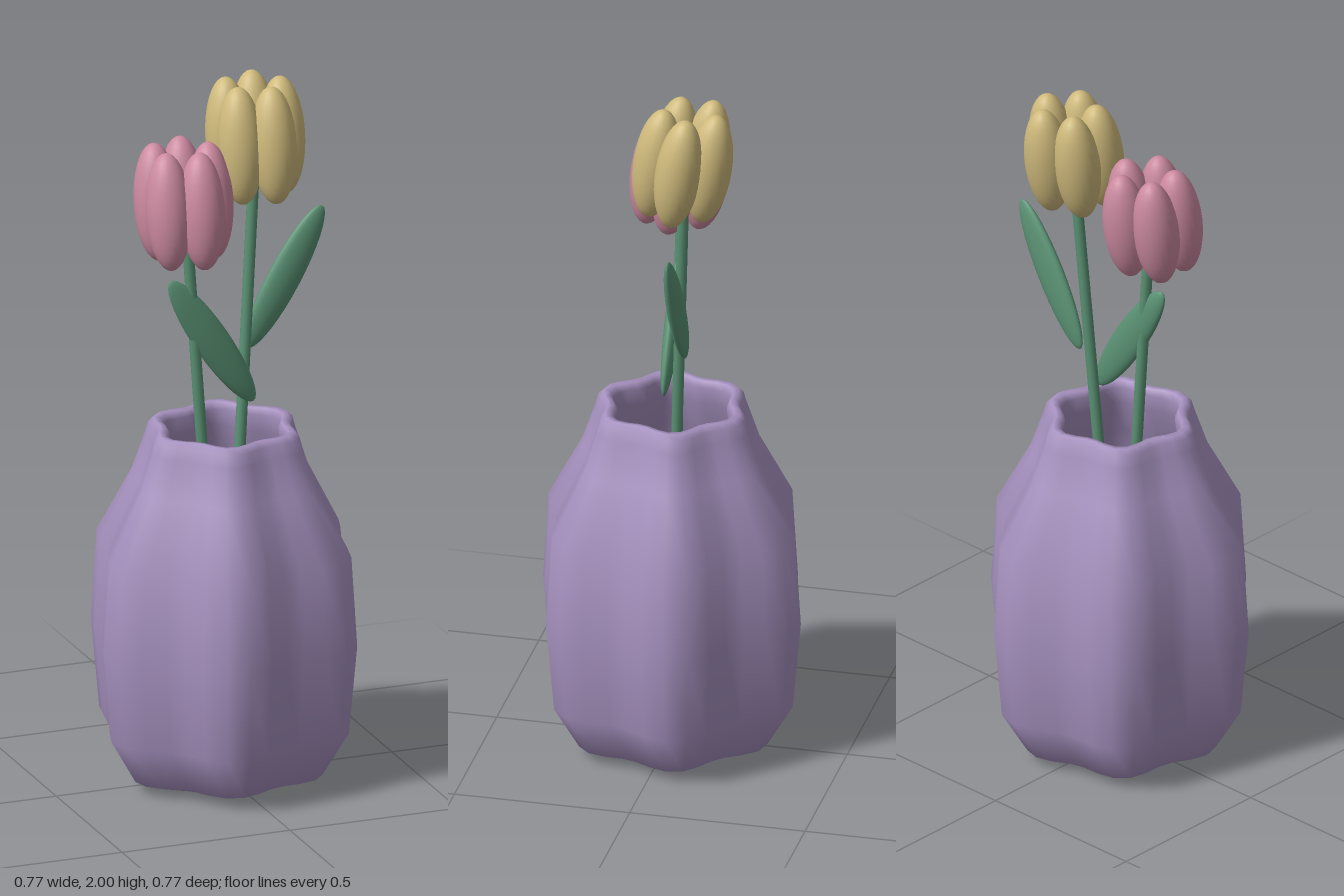
import * as THREE from 'three';
import { mergeVertices } from 'three/addons/utils/BufferGeometryUtils.js';

const material = (name, color) => {
  const m = new THREE.MeshStandardMaterial({ color });
  m.name = name;
  return m;
};

function addMesh(parent, name, geometry, mat) {
  const mesh = new THREE.Mesh(geometry, mat);
  mesh.name = name;
  parent.add(mesh);
  return mesh;
}

// Lathe profile pushed in and out into six soft lobes
function vaseGeometry() {
  const profile = [
    [0, 0], [0.18, 0], [0.268, 0.03], [0.34, 0.16], [0.363, 0.42], [0.347, 0.68],
    [0.252, 0.87], [0.216, 0.98], [0.206, 1.015], [0.192, 1.03], [0.175, 1.028],
    [0.165, 1.01], [0.172, 0.96], [0.21, 0.85], [0.3, 0.67], [0.318, 0.42],
    [0.298, 0.18], [0.23, 0.07], [0, 0.06],
  ].map(([r, y]) => new THREE.Vector2(r, y));
  let geo = new THREE.LatheGeometry(profile, 36);
  const p = geo.attributes.position;
  for (let i = 0; i < p.count; i++) {
    const x = p.getX(i), z = p.getZ(i);
    const k = 1 - 0.085 * Math.sin(6 * Math.atan2(z, x));
    p.setX(i, x * k);
    p.setZ(i, z * k);
  }
  geo.deleteAttribute('uv');
  geo.deleteAttribute('normal');
  geo = mergeVertices(geo, 1e-5);
  geo.computeVertexNormals();
  return geo;
}

// Straight stem between two points
function addStem(parent, from, to, mat) {
  const a = new THREE.Vector3(...from), b = new THREE.Vector3(...to);
  const dir = b.clone().sub(a);
  const stem = addMesh(parent, 'stem', new THREE.CylinderGeometry(0.016, 0.016, dir.length(), 12), mat);
  stem.position.copy(a).add(b).multiplyScalar(0.5);
  stem.quaternion.setFromUnitVectors(new THREE.Vector3(0, 1, 0), dir.normalize());
}

// Ring of five tall petals, all leaning slightly back
function addBloom(parent, center, mat) {
  const bloom = new THREE.Group();
  bloom.name = 'bloom';
  bloom.position.set(...center);
  const petalGeo = new THREE.SphereGeometry(1, 24, 18);
  for (let i = 0; i < 5; i++) {
    const a = (i / 5) * Math.PI * 2;
    const petal = addMesh(bloom, 'petal', petalGeo, mat);
    petal.position.set(0.079 * Math.cos(a), 0, 0.079 * Math.sin(a));
    petal.scale.set(0.064, 0.167, 0.064);
    petal.rotation.x = -0.14;
  }
  parent.add(bloom);
}

// Flattened ellipsoid leaf, tilted sideways
function addLeaf(parent, center, length, tilt, mat) {
  const leaf = addMesh(parent, 'leaf', new THREE.SphereGeometry(1, 24, 18), mat);
  leaf.position.set(...center);
  leaf.scale.set(0.05, length, 0.022);
  leaf.rotation.z = tilt;
}

export function createModel() {
  const lilac = material('lilac glaze', 0xa792c0);
  const green = material('leaf green', 0x5a9274);
  const pink = material('pink petal', 0xcc8aa0);
  const yellow = material('yellow petal', 0xcfba7c);

  const model = new THREE.Group();
  model.name = 'vaseWithTulips';
  addMesh(model, 'vase', vaseGeometry(), lilac);

  const pinkTulip = new THREE.Group();
  pinkTulip.name = 'pinkTulip';
  addStem(pinkTulip, [0, 0.06, 0], [-0.117, 1.7, 0], green);
  addBloom(pinkTulip, [-0.119, 1.693, 0], pink);
  addLeaf(pinkTulip, [-0.037, 1.28, 0.003], 0.228, 0.575, green);

  const yellowTulip = new THREE.Group();
  yellowTulip.name = 'yellowTulip';
  addStem(yellowTulip, [-0.003, 0.06, 0.01], [0.12, 1.84, -0.065], green);
  addBloom(yellowTulip, [0.12, 1.835, -0.065], yellow);
  addLeaf(yellowTulip, [0.205, 1.417, -0.062], 0.225, -0.52, green);

  model.add(pinkTulip, yellowTulip);
  return model;
}
